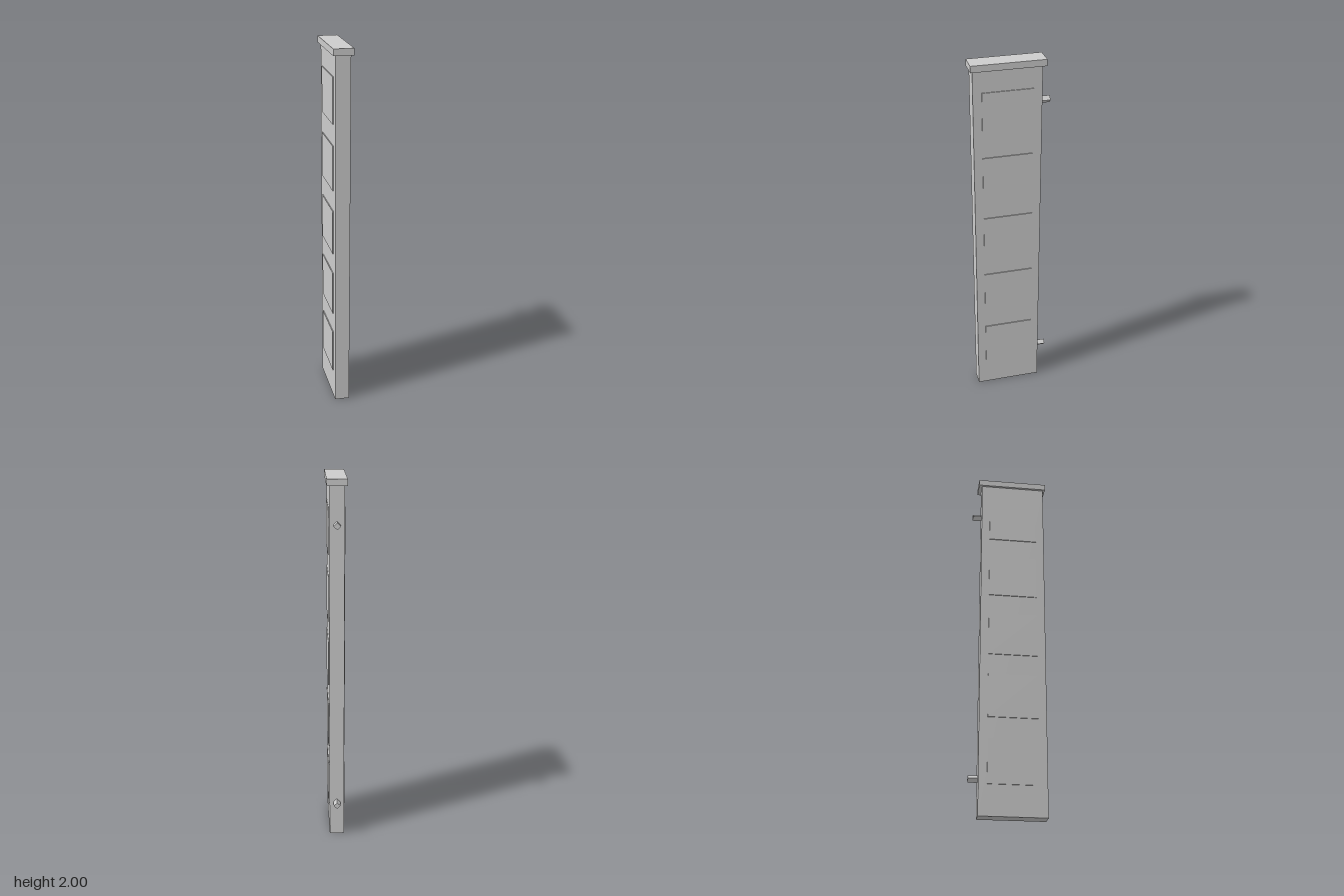
import * as THREE from 'three';

export function createModel() {
  const model = new THREE.Group();
  const grey = new THREE.MeshStandardMaterial({ color: 0xcccccc });
  grey.name = 'light grey';
  grey.flatShading = true;

  const add = (name, geometry, x, y, z) => {
    const mesh = new THREE.Mesh(geometry, grey);
    mesh.name = name;
    mesh.position.set(x, y, z);
    model.add(mesh);
  };

  // Tall slab and its overhanging cap
  add('slab', new THREE.BoxGeometry(0.08, 1.965, 0.36), 0, 0.9825, 0.019);
  add('cap', new THREE.BoxGeometry(0.106, 0.035, 0.391), 0, 1.9825, 0.0155);

  // Five raised panels on each broad side
  const panel = new THREE.BoxGeometry(0.006, 0.245, 0.268);
  for (const side of [-1, 1]) {
    for (let i = 0; i < 5; i++) {
      add(side > 0 ? 'leftPanel' : 'rightPanel', panel, side * 0.042, 0.288 + i * 0.36, 0.019);
    }
  }

  // Diamond-section hinge pegs on the back edge
  const peg = new THREE.CylinderGeometry(0.019, 0.019, 0.053, 4).rotateX(Math.PI / 2);
  for (const y of [0.199, 1.768]) add('hingePeg', peg, 0, y, -0.1845);

  return model;
}
